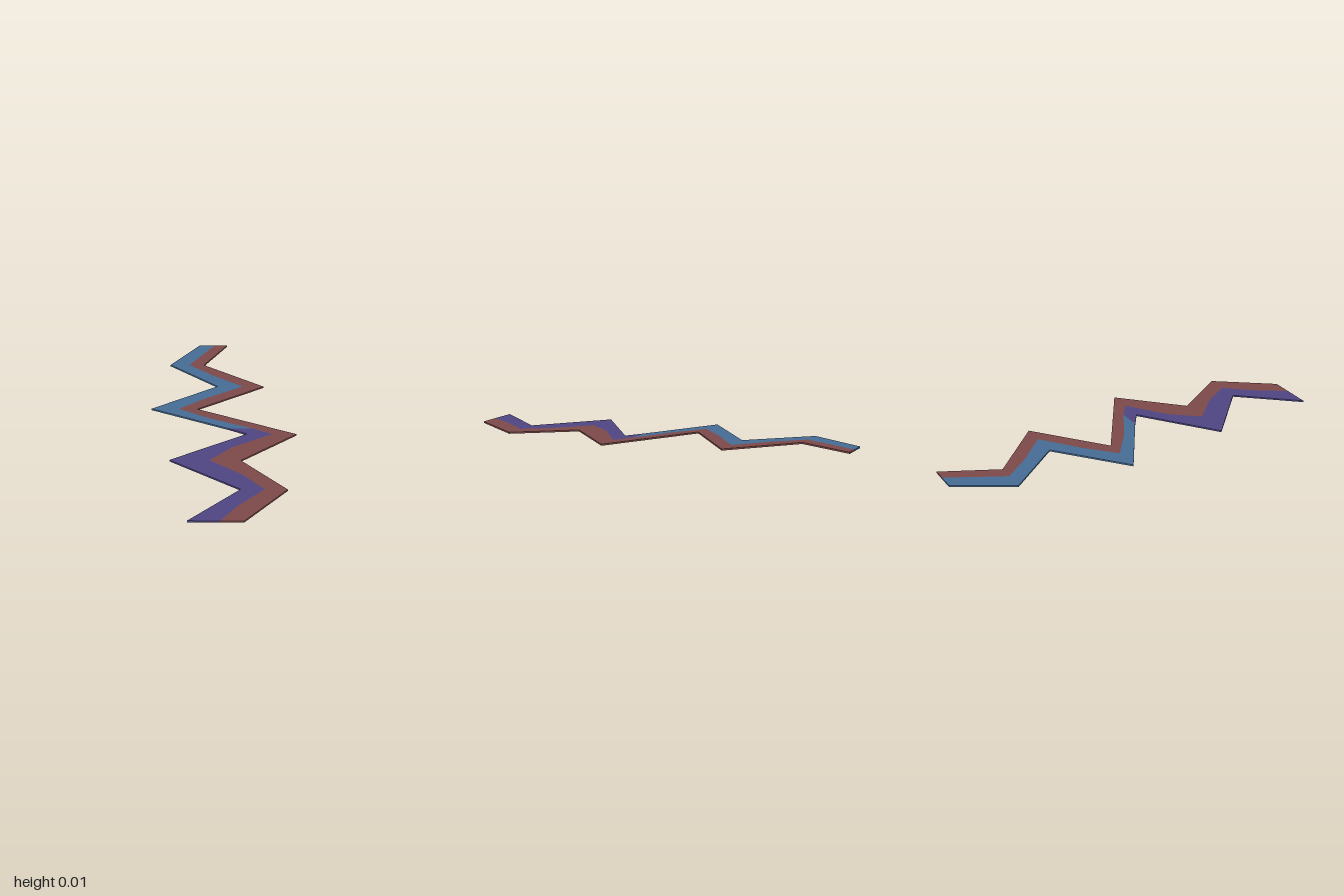
import * as THREE from 'three';

const THICKNESS = 0.008;

// Rows of the zigzag, [x, z] from back to front
const leftBack = [[-0.145, -1], [-0.30, -0.715], [-0.035, -0.43], [-0.37, -0.145], [0.025, 0.08]];
const leftFront = [[0.025, 0.08], [0.12, 0.14], [-0.25, 0.425], [0.09, 0.71], [-0.145, 1]];
const seamBack = [[-0.06, -1], [-0.195, -0.715], [-0.06, -0.57], [0.10, -0.43],
  [-0.09, -0.28], [-0.23, -0.145], [-0.06, -0.03], [0.15, 0.08]];
const seamFront = [[0.15, 0.08], [0.245, 0.14], [0.045, 0.29], [-0.06, 0.425],
  [0.10, 0.57], [0.20, 0.71], [0.08, 0.86], [0, 1]];
const rightEdge = [[0.01, -1], [-0.115, -0.715], [0.21, -0.43], [-0.135, -0.145],
  [0.365, 0.14], [0.09, 0.425], [0.305, 0.71], [0.105, 1]];

// Flat slab between two edges, lying on the ground
function slab(name, edgeA, edgeB, material) {
  const outline = [...edgeA, ...[...edgeB].reverse()].map(([x, z]) => new THREE.Vector2(x, -z));
  const geometry = new THREE.ExtrudeGeometry(new THREE.Shape(outline), { depth: THICKNESS, bevelEnabled: false });
  geometry.rotateX(-Math.PI / 2);
  const mesh = new THREE.Mesh(geometry, material);
  mesh.name = name;
  return mesh;
}

function flat(name, color) {
  const material = new THREE.MeshStandardMaterial({ color });
  material.name = name;
  return material;
}

export function createModel() {
  const group = new THREE.Group();
  group.name = 'zigzagStrip';
  const seam = [...seamBack, ...seamFront.slice(1)];
  group.add(
    slab('backLeftBand', leftBack, seamBack, flat('blue', 0x466c94)),
    slab('frontLeftBand', leftFront, seamFront, flat('purple', 0x4f4582)),
    slab('rightBand', seam, rightEdge, flat('redBrown', 0x7d4a4a)),
  );
  return group;
}
